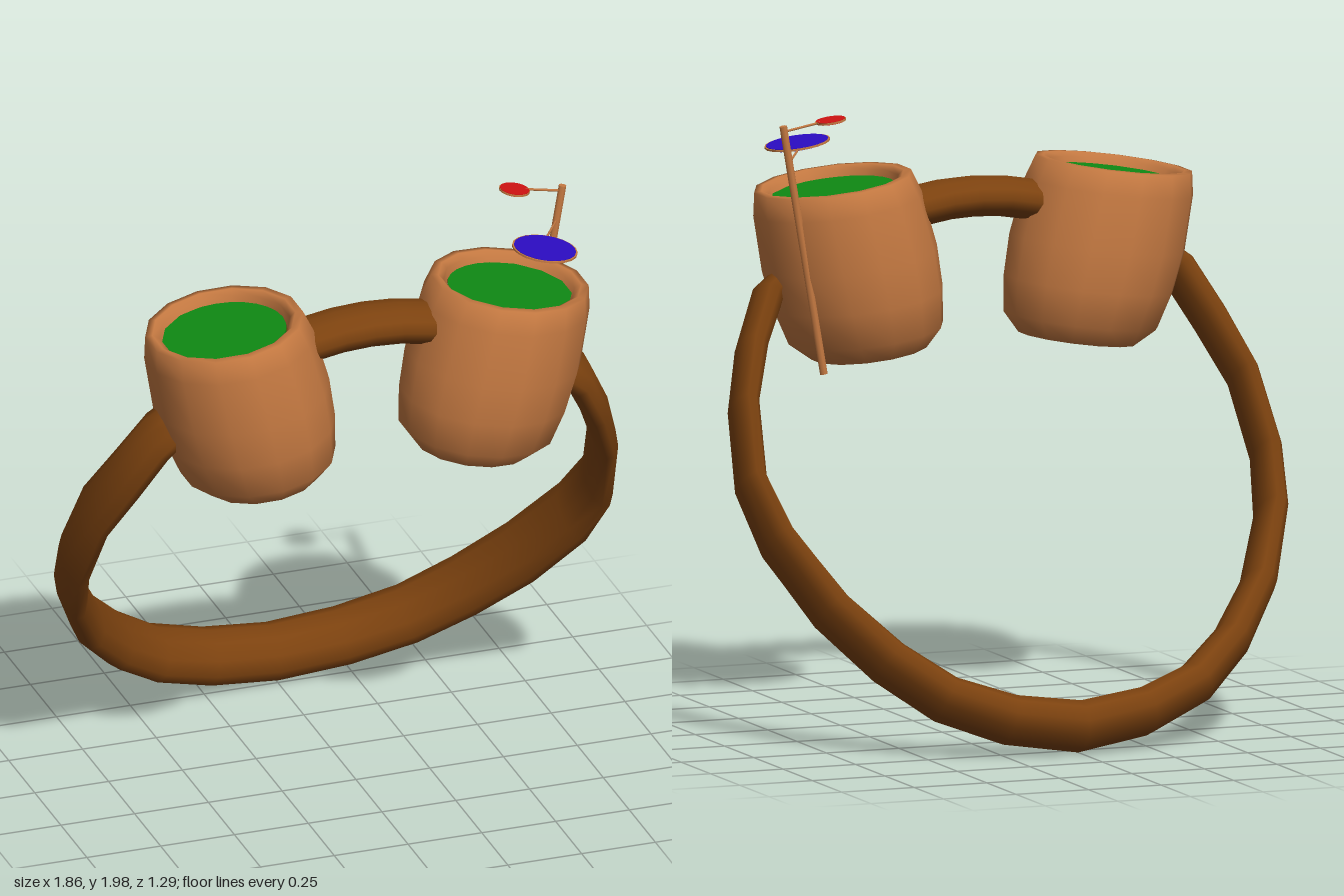
import * as THREE from 'three';

const mat = (name, color, side = THREE.FrontSide) => {
  const m = new THREE.MeshStandardMaterial({ color, side });
  m.name = name;
  return m;
};

// Sweeps an oval along stations [x, y, z, radial half-size, half-size along n]
function band(stations, n, sides = 10) {
  const pts = stations.map(s => new THREE.Vector3(s[0], s[1], s[2]));
  const pos = [], index = [];
  const last = pts.length - 1;
  pts.forEach((c, i) => {
    const t = pts[Math.min(i + 1, last)].clone().sub(pts[Math.max(i - 1, 0)]);
    const r = t.cross(n).normalize();
    const [, , , a, b] = stations[i];
    for (let j = 0; j < sides; j++) {
      const th = (j / sides) * Math.PI * 2;
      const p = c.clone().addScaledVector(r, a * Math.cos(th)).addScaledVector(n, b * Math.sin(th));
      pos.push(p.x, p.y, p.z);
      if (i < last) {
        const k = (j + 1) % sides, u = i * sides, v = u + sides;
        index.push(u + j, v + j, u + k, v + j, v + k, u + k);
      }
    }
  });
  // end caps
  for (let j = 1; j < sides - 1; j++) {
    const e = last * sides;
    index.push(0, j, j + 1, e, e + j + 1, e + j);
  }
  const g = new THREE.BufferGeometry();
  g.setAttribute('position', new THREE.Float32BufferAttribute(pos, 3));
  g.setIndex(index);
  g.computeVertexNormals();
  return g;
}

// Tapered rod between two points
function rod(a, b, rA, rB, sides) {
  const p = new THREE.Vector3(...a), d = new THREE.Vector3(...b).sub(p);
  const g = new THREE.CylinderGeometry(rB, rA, d.length(), sides);
  g.applyQuaternion(new THREE.Quaternion().setFromUnitVectors(new THREE.Vector3(0, 1, 0), d.clone().normalize()));
  const mid = p.addScaledVector(d, 0.5);
  return g.translate(mid.x, mid.y, mid.z);
}

export function createModel() {
  const wood = mat('light wood', 0xc67a42);
  const leather = mat('brown leather', 0x7c420f);
  const green = mat('green', 0x0f8a14);
  const blue = mat('blue', 0x2c0cc4);
  const red = mat('red', 0xd01212);

  const root = new THREE.Group();
  const add = (name, geo, material, parent = root) => {
    const m = new THREE.Mesh(geo, material);
    m.name = name;
    parent.add(m);
    return m;
  };

  // Barrel-shaped eyepieces, leaning outwards, with a sunken lens
  const profile = [
    [0, 0], [0.1, 0], [0.19, 0.005], [0.252, 0.065], [0.276, 0.18], [0.286, 0.31], [0.275, 0.49],
    [0.256, 0.563], [0.232, 0.565], [0.212, 0.55], [0.2, 0.5],
  ].map(p => new THREE.Vector2(...p));
  for (const s of [1, -1]) {
    const side = s > 0 ? 'left' : 'right';
    const lean = new THREE.Matrix4().set(
      0.99, 0.23 * s, 0, 0.355 * s,
      -0.13 * s, 1, 0, 1.2,
      0, 0, 1, 0.355,
      0, 0, 0, 1);
    add(side + 'Barrel', new THREE.LatheGeometry(profile, 14).applyMatrix4(lean), wood);
    const lens = new THREE.CylinderGeometry(0.204, 0.204, 0.008, 28);
    lens.translate(0.01 * s, 0.529, 0);
    add(side + 'Lens', lens.applyMatrix4(lean), green);
  }

  // Bridge between the barrels
  const bridge = [-0.3, -0.2, -0.1, 0, 0.1, 0.2, 0.3].map(x => [x, 1.685 - 0.55 * x * x, 0.355, 0.066, 0.1]);
  add('bridge', band(bridge, new THREE.Vector3(0, 0, 1), 12), leather);

  // Head strap: half of the loop, mirrored
  const half = [
    [0.62, 1.47, 0.36, 0.05, 0.08],
    [0.71, 1.40, 0.355, 0.052, 0.09],
    [0.79, 1.25, 0.29, 0.048, 0.095],
    [0.86, 1.08, 0.185, 0.042, 0.1],
    [0.887, 0.85, 0.055, 0.042, 0.105],
    [0.85, 0.68, -0.08, 0.046, 0.115],
    [0.735, 0.475, -0.255, 0.055, 0.115],
    [0.59, 0.32, -0.385, 0.062, 0.11],
    [0.43, 0.205, -0.475, 0.068, 0.105],
    [0.23, 0.135, -0.53, 0.075, 0.102],
  ];
  const mirrored = half.map(([x, ...rest]) => [-x, ...rest]).reverse();
  const loop = [...half, [0, 0.104, -0.555, 0.08, 0.1], ...mirrored];
  add('headStrap', band(loop, new THREE.Vector3(0, 0.56, -0.83)), leather);

  // Pole beside the left barrel
  add('pole', rod([0.585, 1.17, 0.18], [0.725, 1.98, 0.18], 0.013, 0.013, 8), wood);

  // Small tilted discs on thin arms
  const disc = (name, [x, y, z], r, material, from, to) => {
    const g = new THREE.Group();
    g.name = name;
    add(name + 'Arm', rod(from, to, 0.004, 0.004, 6), wood, g);
    const plate = new THREE.Group();
    plate.name = name + 'Plate';
    plate.position.set(x, y, z);
    plate.rotation.z = -0.15;
    g.add(plate);
    add(name + 'Rim', new THREE.CylinderGeometry(r, r, 0.006, 20), wood, plate);
    add(name + 'Face', new THREE.CylinderGeometry(r * 0.95, r * 0.95, 0.009, 20), material, plate);
    root.add(g);
  };
  disc('redDisc', [0.563, 1.989, 0.177], 0.05, red, [0.6, 1.985, 0.177], [0.722, 1.962, 0.18]);
  disc('blueDisc', [0.583, 1.883, 0.412], 0.106, blue, [0.62, 1.874, 0.32], [0.704, 1.86, 0.18]);

  return root;
}
